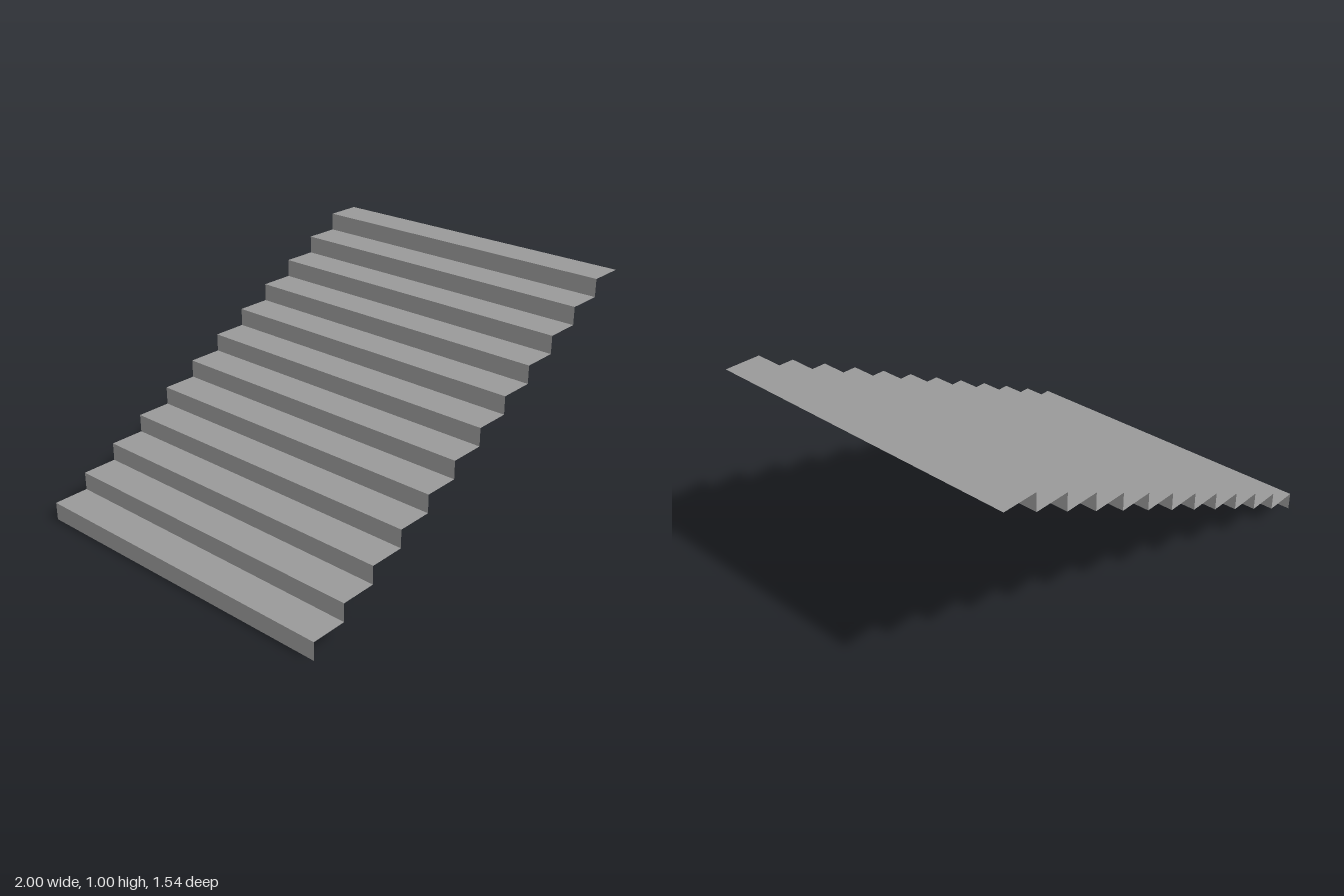
import * as THREE from 'three';

const STEPS = 12;
const RUN = 2 / STEPS;
const RISE = 1 / STEPS;
const WIDTH = 1.54;

export function createModel() {
  const stairs = new THREE.Group();
  stairs.name = 'stairs';

  const material = new THREE.MeshStandardMaterial({
    color: 0x999999,
    flatShading: true,
    side: THREE.DoubleSide,
  });

  // Thin sheets: risers face -x, treads face up
  const riserGeometry = new THREE.PlaneGeometry(WIDTH, RISE).rotateY(-Math.PI / 2);
  const treadGeometry = new THREE.PlaneGeometry(RUN, WIDTH).rotateX(-Math.PI / 2);

  // Folded flight climbing towards +x
  for (let i = 0; i < STEPS; i++) {
    const step = new THREE.Group();
    step.name = `step${i + 1}`;
    step.position.set(-1 + i * RUN, i * RISE, 0);

    const riser = new THREE.Mesh(riserGeometry, material);
    riser.name = 'riser';
    riser.position.y = RISE / 2;

    const tread = new THREE.Mesh(treadGeometry, material);
    tread.name = 'tread';
    tread.position.set(RUN / 2, RISE, 0);

    step.add(riser, tread);
    stairs.add(step);
  }
  return stairs;
}
